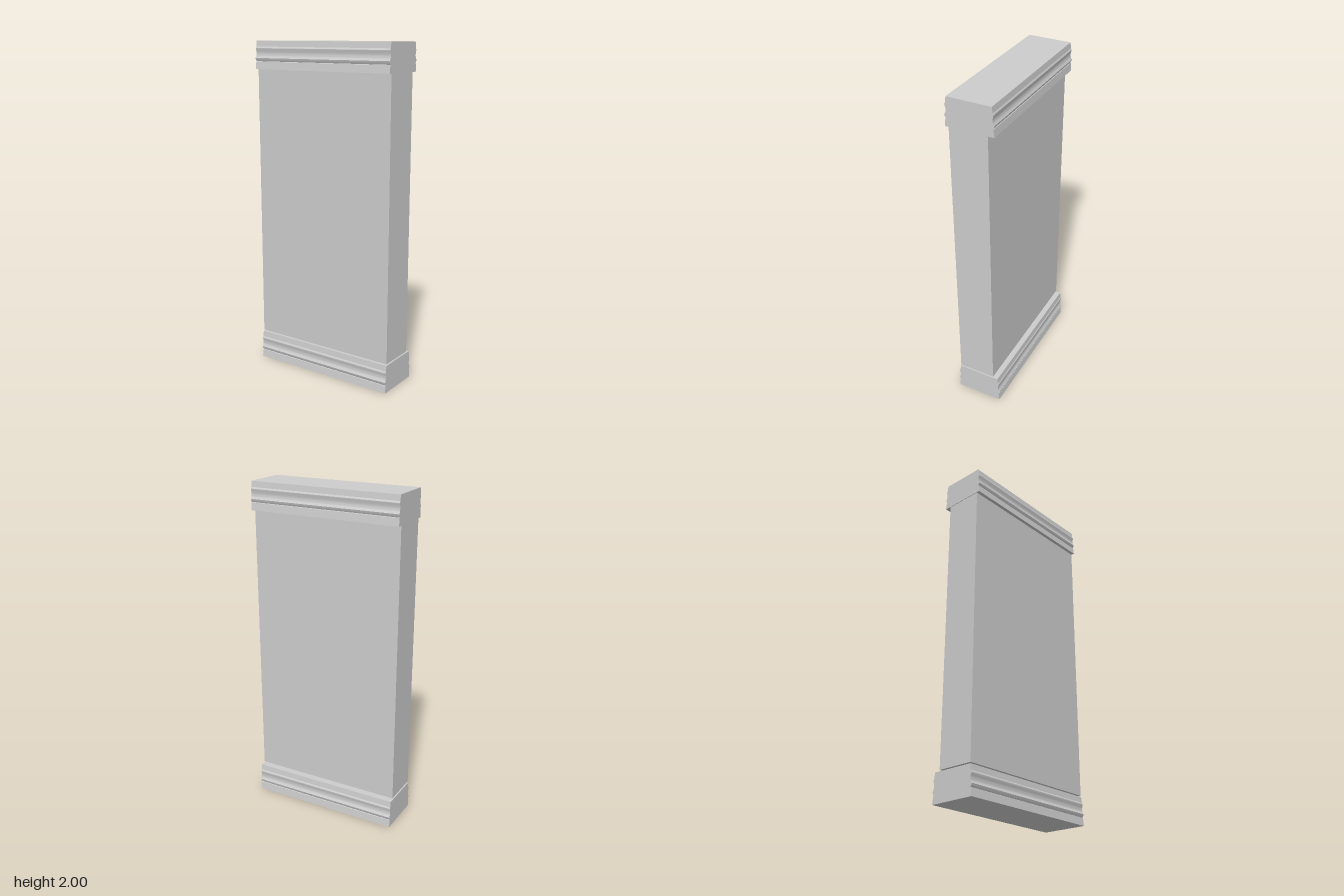
import * as THREE from 'three';
import { toCreasedNormals } from 'three/addons/utils/BufferGeometryUtils.js';

const material = new THREE.MeshStandardMaterial({ color: 0xcccccc });

// Half profile of a moulding as [half depth, height], from bottom to top
function mouldingProfile() {
  const points = [[0.141, 0], [0.136, 0.045], [0.133, 0.047], [0.141, 0.061]];
  // Hollow cove between the two beads
  const cove = new THREE.QuadraticBezierCurve(
    new THREE.Vector2(0.142, 0.066),
    new THREE.Vector2(0.125, 0.086),
    new THREE.Vector2(0.138, 0.12)
  );
  for (const p of cove.getPoints(8)) points.push([p.x, p.y]);
  points.push([0.138, 0.124], [0.133, 0.133], [0.129, 0.167]);
  return points;
}

// Moulded block: the same profile on front and back, run along x
function moulding(name, y, z, height) {
  const half = mouldingProfile().map(([d, h]) => [d, h * height / 0.167]);
  const outline = [
    ...half,
    ...half.slice().reverse().map(([d, h]) => [-d, h]),
  ].map(([d, h]) => new THREE.Vector2(d, h));
  const width = 0.927;
  const geometry = new THREE.ExtrudeGeometry(new THREE.Shape(outline), {
    depth: width, bevelEnabled: false,
  });
  geometry.translate(0, 0, -width / 2);
  geometry.rotateY(-Math.PI / 2);
  const mesh = new THREE.Mesh(toCreasedNormals(geometry, 0.35), material);
  mesh.name = name;
  mesh.position.set(-0.001, y, z);
  return mesh;
}

export function createModel() {
  const group = new THREE.Group();
  group.name = 'pilaster';

  // Plain slab, standing just clear of the base
  const shaft = new THREE.Mesh(new THREE.BoxGeometry(0.923, 1.66, 0.225), material);
  shaft.name = 'shaft';
  shaft.position.set(0, 1.008, 0.01);
  group.add(shaft);

  group.add(moulding('base', 0, -0.004, 0.17));
  group.add(moulding('capital', 1.835, 0.002, 0.165));
  return group;
}
